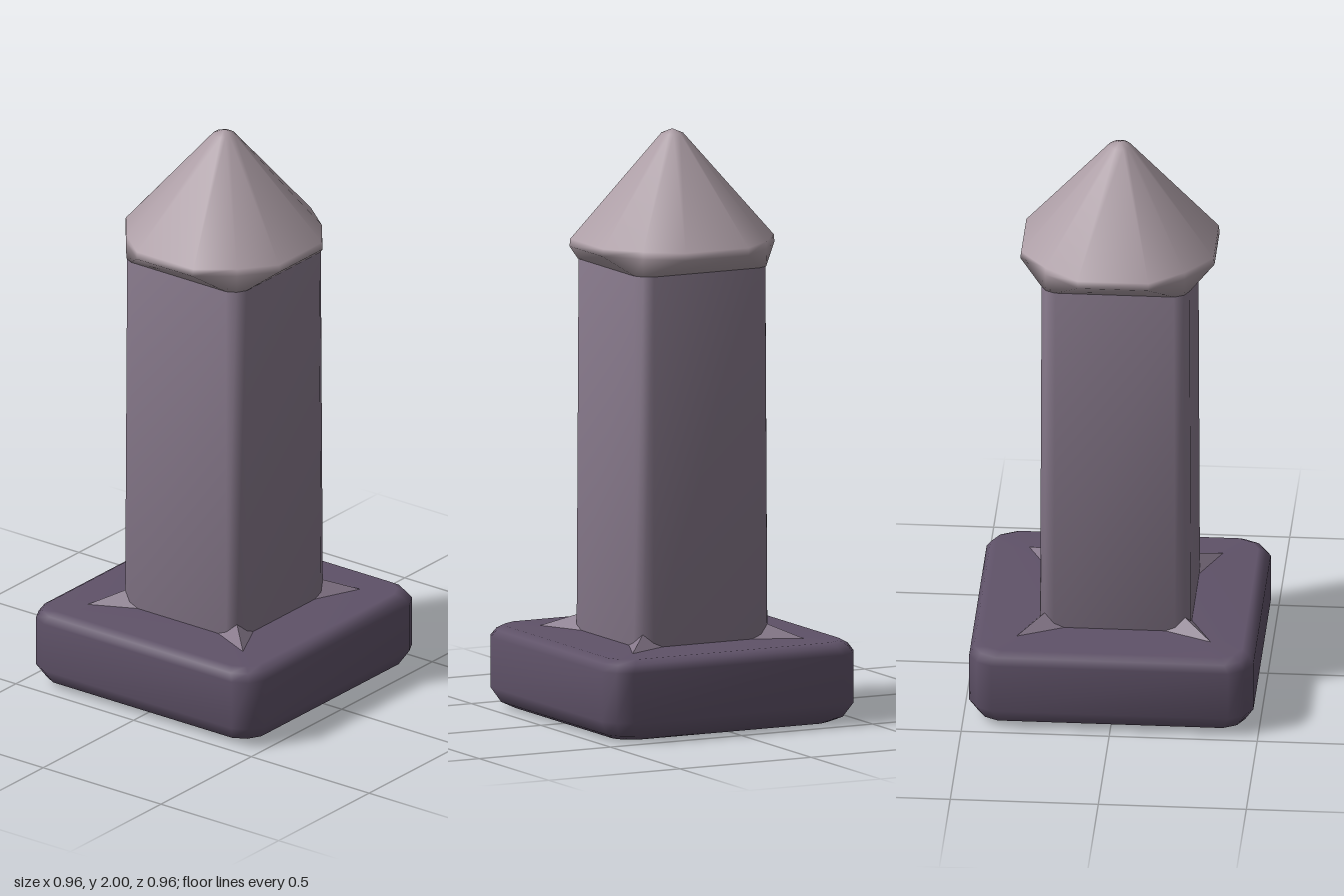
import * as THREE from 'three';

// Rounded-square outline: half width h, corner cut c, k sets how far the corner is pulled in
function outline(h, c, k) {
  const pts = [];
  for (let q = 0; q < 4; q++) {
    const cos = Math.round(Math.cos(q * Math.PI / 2)), sin = Math.round(Math.sin(q * Math.PI / 2));
    for (const [x, z] of [[h, h - c], [h - k * c, h - k * c], [h - c, h]]) {
      pts.push([x * cos - z * sin, x * sin + z * cos]);
    }
  }
  return pts;
}

// Smooth closed loft through rings [y, h, c, k], listed bottom to top
function loft(rings, topY = rings[rings.length - 1][0]) {
  const n = 12, pos = [], idx = [];
  for (const [y, h, c, k = 0.35] of rings) {
    for (const [x, z] of outline(h, c, k)) pos.push(x, y, z);
  }
  const bottom = rings.length * n, top = bottom + 1, last = (rings.length - 1) * n;
  pos.push(0, rings[0][0], 0, 0, topY, 0);
  for (let j = 0; j < n; j++) {
    const m = (j + 1) % n;
    for (let i = 0; i < last; i += n) {
      idx.push(i + j, i + n + j, i + m, i + m, i + n + j, i + n + m);
    }
    idx.push(bottom, j, m, top, last + m, last + j);
  }
  const g = new THREE.BufferGeometry();
  g.setAttribute('position', new THREE.Float32BufferAttribute(pos, 3));
  g.setIndex(idx);
  g.computeVertexNormals();
  return g;
}

// Small pointed wedge spreading from a column corner onto the base
function flareGeometry() {
  const tip = [0.33, 0.28, 0.325], apex = [0.235, 0.325, 0.235];
  const a = [0.25, 0.28, 0.16], b = [0.16, 0.28, 0.25];
  const g = new THREE.BufferGeometry();
  g.setAttribute('position', new THREE.Float32BufferAttribute(
    [...a, ...apex, ...tip, ...tip, ...apex, ...b], 3));
  g.computeVertexNormals();
  return g;
}

export function createModel() {
  const model = new THREE.Group();
  model.name = 'stonePost';
  const material = (name, color) => {
    const m = new THREE.MeshStandardMaterial({ color });
    m.name = name;
    return m;
  };
  const darkStone = material('darkStone', 0x5f5268);
  const midStone = material('midStone', 0x86788a);
  const paleStone = material('paleStone', 0xad9ea6);
  const add = (name, geometry, mat) => {
    const mesh = new THREE.Mesh(geometry, mat);
    mesh.name = name;
    model.add(mesh);
    return mesh;
  };

  // Square plinth with softened edges
  add('base', loft([
    [0, 0.41, 0.06], [0.02, 0.45, 0.07], [0.07, 0.48, 0.08],
    [0.24, 0.48, 0.08], [0.265, 0.465, 0.08], [0.28, 0.44, 0.07],
  ]), darkStone);

  // Square column with narrow rounded corners
  add('column', loft([[0.27, 0.255, 0.05], [1.58, 0.25, 0.05]]), midStone);

  // Pointed cap, flaring out from the column then tapering to a blunt tip
  add('cap', loft([
    [1.545, 0.252, 0.05], [1.605, 0.328, 0.21, 0.44], [1.63, 0.325, 0.205, 0.44],
    [1.985, 0.035, 0.022, 0.44],
  ], 2), paleStone);

  // Corner flares at the foot of the column
  const flare = flareGeometry();
  for (let i = 0; i < 4; i++) {
    add('cornerFlare' + (i + 1), flare, midStone).rotation.y = i * Math.PI / 2;
  }
  return model;
}
